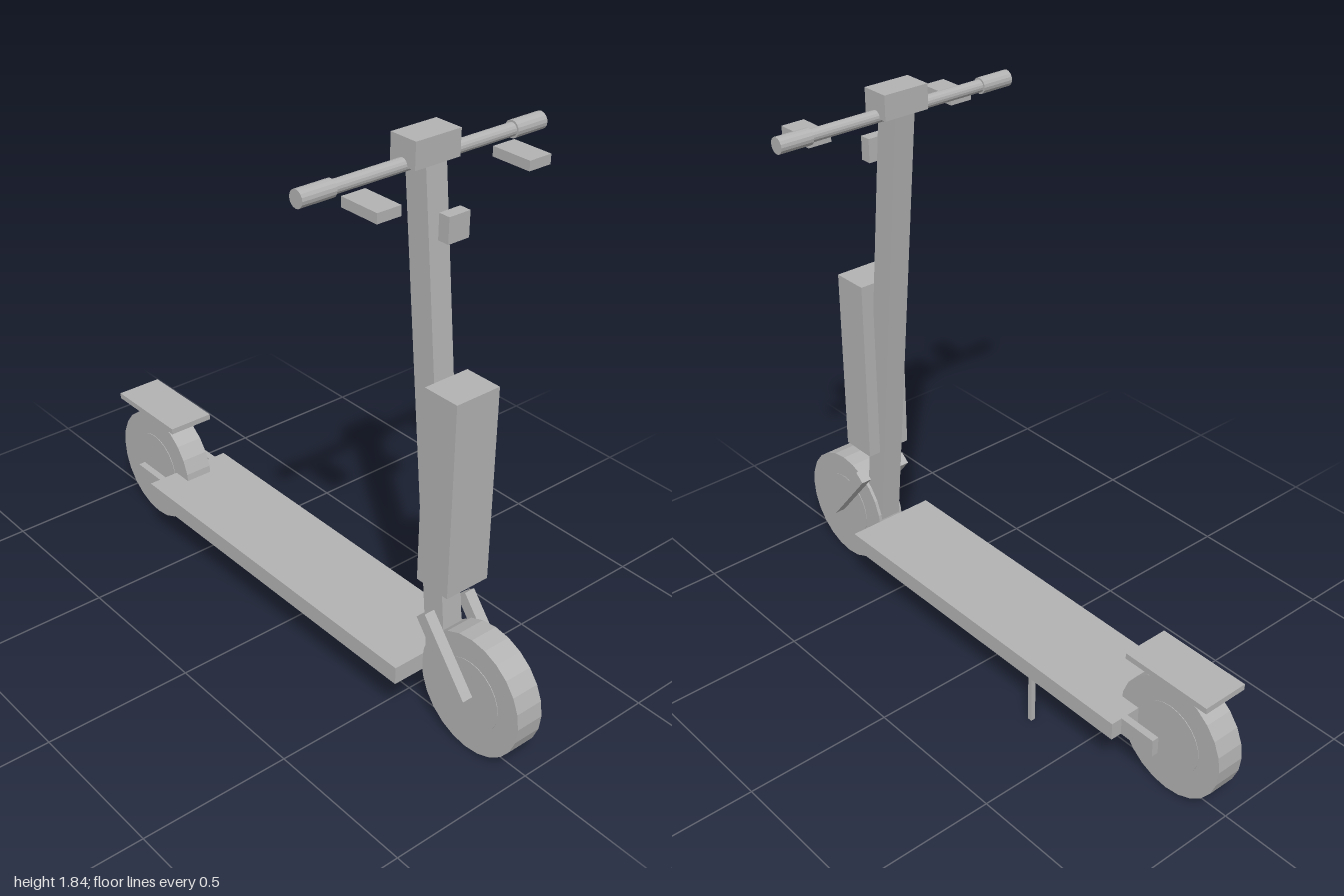
import * as THREE from 'three';

export function createModel() {
  const group = new THREE.Group();
  group.name = 'kickScooter';
  const grey = new THREE.MeshStandardMaterial({ color: 0xb3b3b3, flatShading: true });
  grey.name = 'plain grey';

  const add = (name, geometry, x, y, z, tilt = 0) => {
    const mesh = new THREE.Mesh(geometry, grey);
    mesh.name = name;
    mesh.position.set(x, y, z);
    mesh.rotation.x = tilt;
    group.add(mesh);
    return mesh;
  };
  const box = (name, w, h, d, x, y, z, tilt) =>
    add(name, new THREE.BoxGeometry(w, h, d), x, y, z, tilt);
  // Cylinder lying along x
  const rod = (name, r, length, x, y, z, sides = 24) =>
    add(name, new THREE.CylinderGeometry(r, r, length, sides).rotateZ(Math.PI / 2), x, y, z);
  // Box stretched between two points of the side plane, given as [y, z]
  const beam = (name, w, d, x, [y0, z0], [y1, z1]) =>
    box(name, w, Math.hypot(y1 - y0, z1 - z0), d, x, (y0 + y1) / 2, (z0 + z1) / 2,
      Math.atan2(z1 - z0, y1 - y0));

  // Wheels with slightly raised hubs
  for (const [end, z] of [['front', 0.8], ['rear', -0.8]]) {
    rod(end + 'Wheel', 0.2, 0.096, 0, 0.2, z);
    rod(end + 'Hub', 0.12, 0.1, 0, 0.2, z);
  }

  // Deck, rear mudguard and kickstand
  box('deck', 0.316, 0.06, 1.276, 0, 0.198, -0.035);
  box('rearMudguard', 0.16, 0.02, 0.32, 0, 0.425, -0.8);
  box('kickstand', 0.016, 0.168, 0.016, 0.15, 0.084, -0.31);

  // Steering column, battery, lamp and display
  beam('stem', 0.074, 0.08, 0, [0.2, 0.648], [1.768, 0.483]);
  box('batteryPack', 0.16, 0.64, 0.126, 0, 0.836, 0.66);
  box('headlamp', 0.075, 0.078, 0.038, 0, 1.613, 0.599);
  box('displayHousing', 0.16, 0.08, 0.096, 0, 1.801, 0.481);

  // Handlebar
  rod('handlebar', 0.02, 0.8, 0, 1.764, 0.48, 16);

  // Mirrored parts
  for (const [side, s] of [['left', 1], ['right', -1]]) {
    rod(side + 'Grip', 0.026, 0.112, s * 0.375, 1.764, 0.48, 16);
    box(side + 'BrakeLever', 0.08, 0.03, 0.136, s * 0.266, 1.731, 0.572);
    beam(side + 'ForkBlade', 0.037, 0.043, s * 0.081, [0.203, 0.812], [0.417, 0.639]);
    box(side + 'RearStay', 0.024, 0.06, 0.134, s * 0.107, 0.198, -0.735);
  }
  return group;
}
